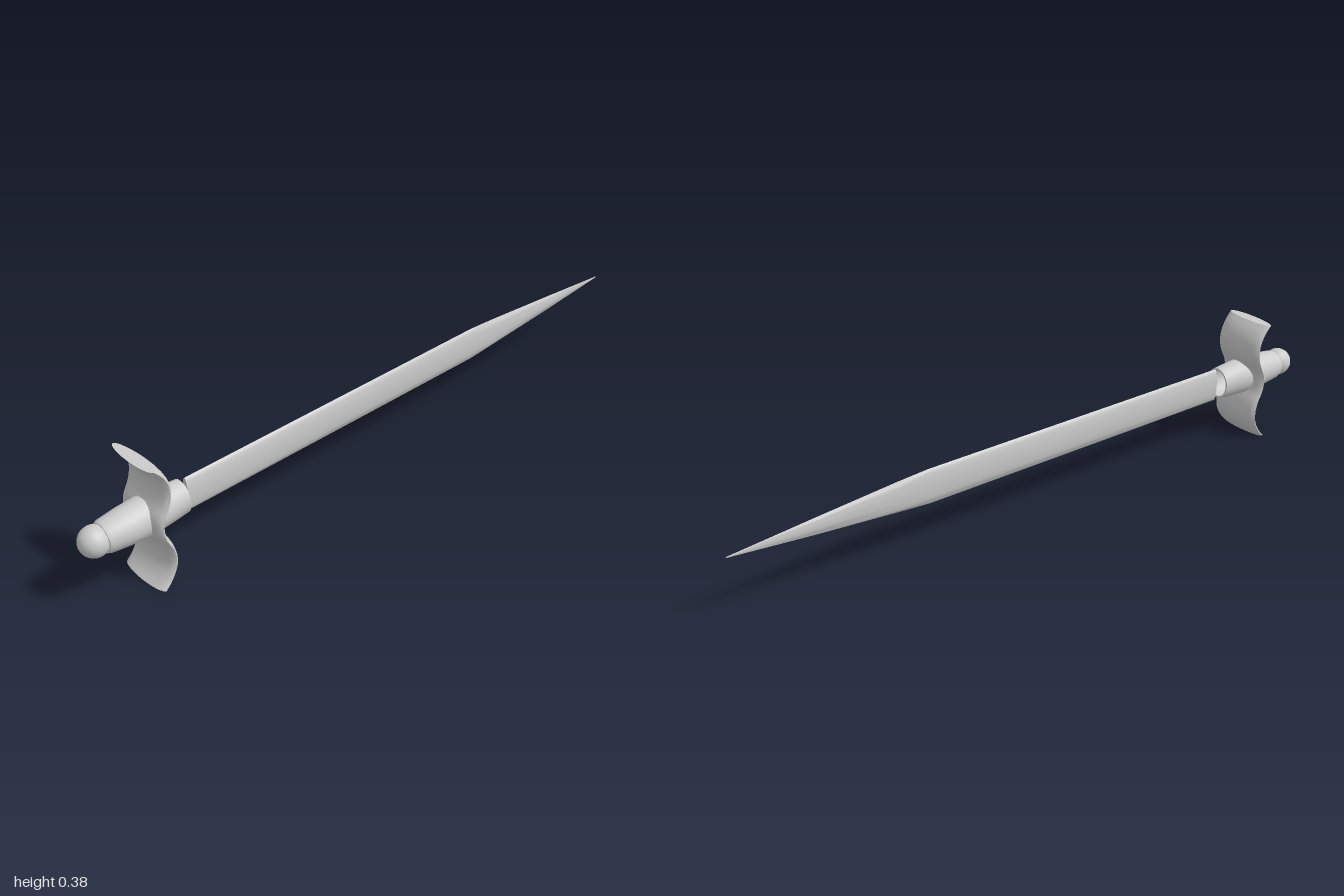
import * as THREE from 'three';
import { toCreasedNormals } from 'three/addons/utils/BufferGeometryUtils.js';

const AXIS_Y = 0.192;
const material = new THREE.MeshStandardMaterial({ color: 0xcccccc, side: THREE.DoubleSide });

// Skin a list of closed rings (arrays of Vector3) and cap both ends.
function loft(rings, crease) {
  const pos = [];
  const tri = (...pts) => pts.forEach((p) => pos.push(p.x, p.y, p.z));
  const n = rings[0].length;
  for (let i = 0; i < rings.length - 1; i++) {
    for (let j = 0; j < n; j++) {
      const k = (j + 1) % n;
      const a = rings[i][j], b = rings[i][k], c = rings[i + 1][j], d = rings[i + 1][k];
      tri(a, b, c);
      tri(b, d, c);
    }
  }
  const cap = (ring, flip) => {
    for (let j = 1; j < n - 1; j++) {
      if (flip) tri(ring[0], ring[j + 1], ring[j]);
      else tri(ring[0], ring[j], ring[j + 1]);
    }
  };
  cap(rings[0], true);
  cap(rings[rings.length - 1], false);
  const geo = new THREE.BufferGeometry();
  geo.setAttribute('position', new THREE.Float32BufferAttribute(pos, 3));
  return toCreasedNormals(geo, crease);
}

function ring(sides, place) {
  return Array.from({ length: sides }, (_, j) => {
    const a = (j / sides) * Math.PI * 2;
    return place(Math.cos(a), Math.sin(a));
  });
}

// Blade: thin lens section, straight and then tapering to a point.
function bladeGeometry() {
  const stations = [ // x, centre y, half height, half thickness
    [-0.675, 0.19, 0.053, 0.011],
    [-0.1, 0.191, 0.053, 0.0105],
    [0.4, 0.192, 0.053, 0.0095],
    [0.5, 0.193, 0.046, 0.008],
    [0.75, 0.194, 0.025, 0.005],
    [1.0, 0.196, 0.0015, 0.001],
  ];
  return loft(stations.map(([x, y, h, t]) =>
    ring(20, (c, s) => new THREE.Vector3(x, y + h * c, t * s))), 0.9);
}

// Guard: wide elliptical band following a wave, mirrored above and below the grip.
function guardGeometry() {
  const half = [ // height above the axis, x
    [0, -0.808], [0.03, -0.803], [0.065, -0.786], [0.1, -0.778],
    [0.135, -0.782], [0.168, -0.8], [0.189, -0.819],
  ];
  const points = [
    ...half.slice(1).reverse().map(([h, x]) => new THREE.Vector3(x, 0.19 - h, 0)),
    ...half.map(([h, x]) => new THREE.Vector3(x, 0.19 + h, 0)),
  ];
  const path = new THREE.CatmullRomCurve3(points).getPoints(40);
  return loft(path.map((p) =>
    ring(20, (c, s) => new THREE.Vector3(p.x + 0.018 * s, p.y, 0.086 * c))), 0.7);
}

// Grip: hollow swelling sleeve, open toward the blade.
function gripGeometry() {
  const profile = [ // radius, x
    [0, -0.936], [0.042, -0.936], [0.046, -0.925], [0.052, -0.87],
    [0.056, -0.81], [0.054, -0.75], [0.049, -0.688],
    [0.043, -0.688], [0.047, -0.75], [0.046, -0.82], [0, -0.82],
  ].map(([r, x]) => new THREE.Vector2(r, x));
  const geo = new THREE.LatheGeometry(profile, 24);
  geo.rotateZ(-Math.PI / 2);
  // The sleeve flattens sideways toward its open end.
  const p = geo.attributes.position;
  for (let i = 0; i < p.count; i++) {
    const t = THREE.MathUtils.smoothstep(p.getX(i), -0.85, -0.688);
    p.setZ(i, p.getZ(i) * (1 - 0.14 * t));
  }
  return toCreasedNormals(geo, 0.7);
}

export function createModel() {
  const group = new THREE.Group();
  const add = (name, geo, y = 0) => {
    const mesh = new THREE.Mesh(geo, material);
    mesh.name = name;
    mesh.position.y = y;
    group.add(mesh);
    return mesh;
  };
  add('blade', bladeGeometry());
  add('guard', guardGeometry());
  add('grip', gripGeometry(), AXIS_Y);
  add('pommel', new THREE.SphereGeometry(0.043, 20, 14), 0.194).position.x = -0.957;
  return group;
}
